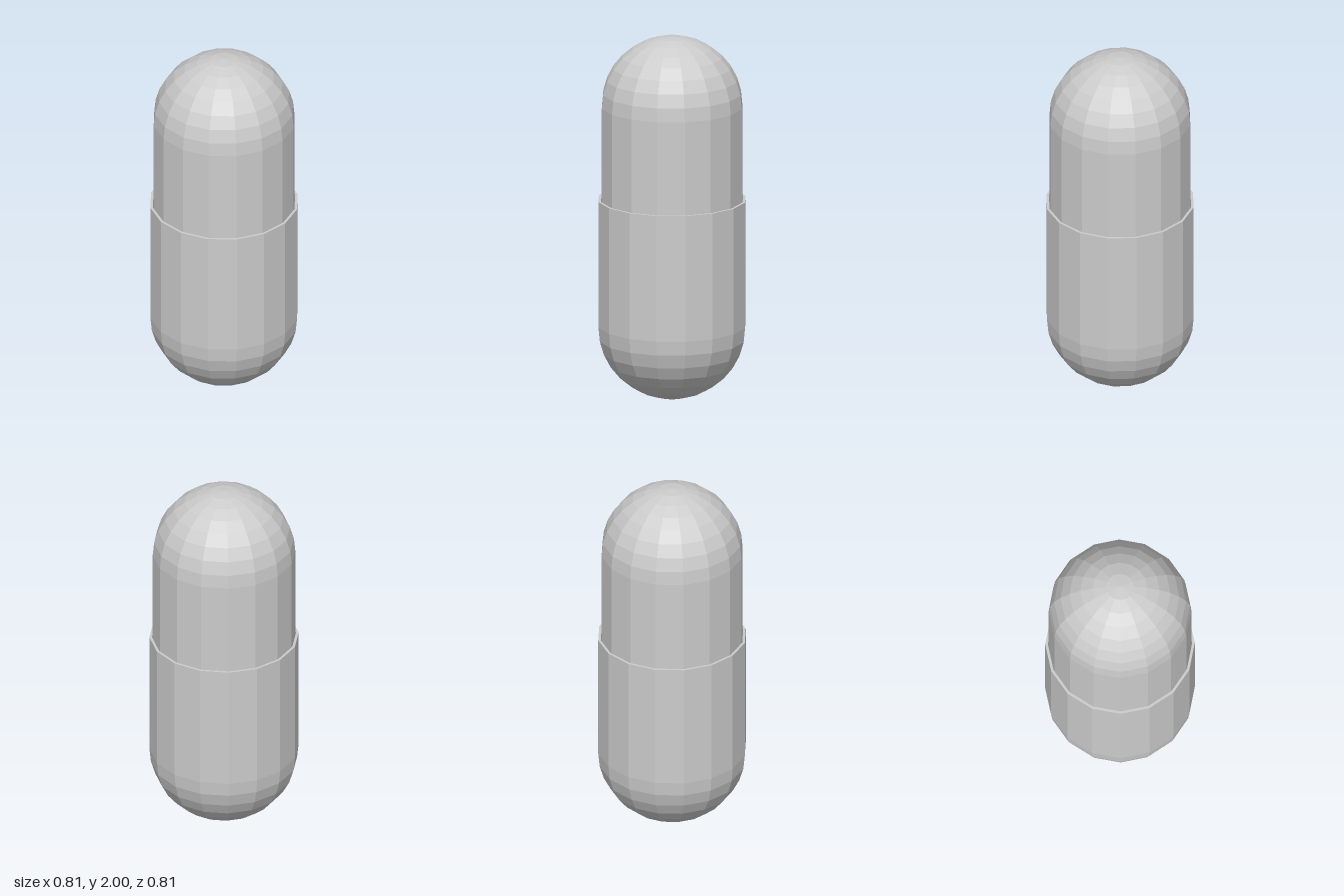
import * as THREE from 'three';

const SIDES = 16;
const RINGS = 8;

// Quarter-circle profile from the pole (on the axis) to the equator.
function domeProfile(radius, centreY, dir) {
  const points = [];
  for (let i = 0; i <= RINGS; i++) {
    const a = (i / RINGS) * Math.PI / 2;
    points.push(new THREE.Vector2(radius * Math.sin(a), centreY + dir * radius * Math.cos(a)));
  }
  return points;
}

// Hollow, round-ended tube: outer skin, flat rim, inner skin.
// dir = -1 puts the dome at the bottom, +1 at the top.
function halfShell(name, outerR, innerR, centreY, rimY, dir) {
  const profile = [
    ...domeProfile(outerR, centreY, dir),
    new THREE.Vector2(outerR, rimY),
    new THREE.Vector2(innerR, rimY),
    ...domeProfile(innerR, centreY, dir).reverse(),
  ];
  if (dir > 0) profile.reverse(); // keeps the faces pointing outwards
  const material = new THREE.MeshStandardMaterial({ color: 0xcccccc, flatShading: true });
  const mesh = new THREE.Mesh(new THREE.LatheGeometry(profile, SIDES), material);
  mesh.name = name;
  return mesh;
}

export function createModel() {
  const capsule = new THREE.Group();
  capsule.name = 'capsule';

  // Wider lower half with an open rim at mid height
  capsule.add(halfShell('lowerShell', 0.403, 0.389, 0.403, 1.1, -1));

  // Narrower upper half, sliding down inside the lower one
  capsule.add(halfShell('upperShell', 0.385, 0.371, 1.615, 0.7, 1));

  return capsule;
}
